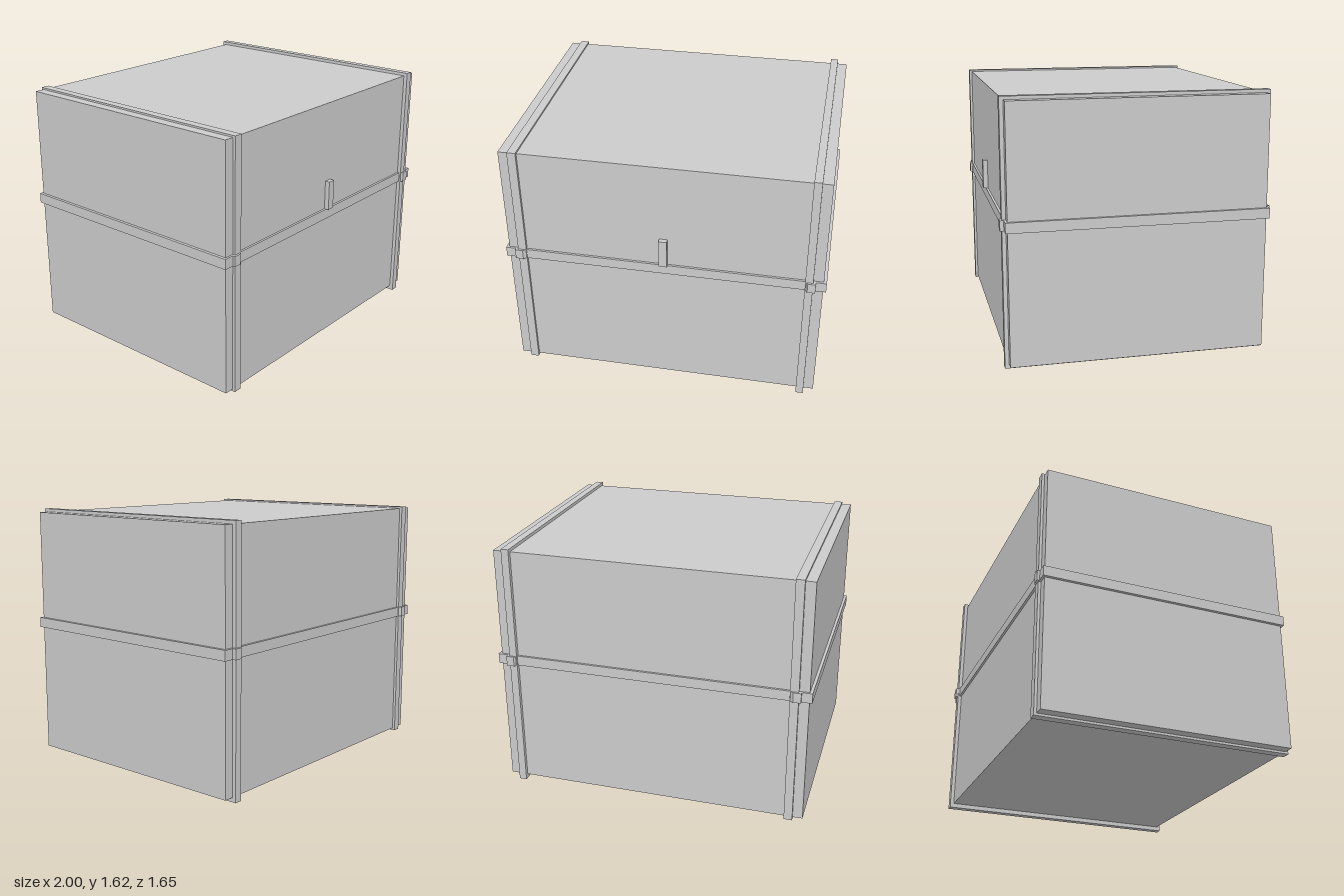
import * as THREE from 'three';

const material = new THREE.MeshStandardMaterial({ color: 0xcccccc, flatShading: true });

function addBox(group, name, [x0, x1], [y0, y1], [z0, z1]) {
  const mesh = new THREE.Mesh(new THREE.BoxGeometry(x1 - x0, y1 - y0, z1 - z0), material);
  mesh.name = name;
  mesh.position.set((x0 + x1) / 2, (y0 + y1) / 2, (z0 + z1) / 2);
  group.add(mesh);
}

// Rectangular hole, wound against the outline
function rectHole(x0, x1, y0, y1) {
  return new THREE.Path([[x0, y0], [x0, y1], [x1, y1], [x1, y0]].map(p => new THREE.Vector2(...p)));
}

// Upright strap: a rectangular loop around the top, bottom, front and back
function addStrap(group, name, [x0, x1], [y0, y1], z) {
  const shape = new THREE.Shape([[-z, y0], [z, y0], [z, y1], [-z, y1]].map(p => new THREE.Vector2(...p)));
  shape.holes.push(rectHole(-0.78, 0.78, 0.035, 1.59));
  const geometry = new THREE.ExtrudeGeometry(shape, { depth: x1 - x0, bevelEnabled: false });
  geometry.rotateY(Math.PI / 2);
  geometry.translate(x0, 0, 0);
  const mesh = new THREE.Mesh(geometry, material);
  mesh.name = name;
  group.add(mesh);
}

// Level band around the sides, stepping out where it crosses each strap
function addBand(group, y0, y1) {
  const z = 0.8;
  const edge = [
    [-1, z], [-0.936, z], [-0.936, 0.816], [-0.888, 0.816], [-0.866, z],
    [0.872, z], [0.888, 0.823], [0.936, 0.823], [0.936, z], [1, z],
  ];
  const back = edge.map(([x, d]) => [x, -d]).reverse();
  const shape = new THREE.Shape([...edge, ...back].map(p => new THREE.Vector2(...p)));
  shape.holes.push(rectHole(-0.975, 0.975, -0.78, 0.78));
  const geometry = new THREE.ExtrudeGeometry(shape, { depth: y1 - y0, bevelEnabled: false });
  geometry.rotateX(-Math.PI / 2);
  geometry.translate(0, y0, 0);
  const mesh = new THREE.Mesh(geometry, material);
  mesh.name = 'horizontalBand';
  group.add(mesh);
}

export function createModel() {
  const group = new THREE.Group();
  group.name = 'strappedCrate';

  addBox(group, 'crateBody', [-0.982, 0.982], [0.028, 1.597], [-0.786, 0.786]);
  addStrap(group, 'rightStrap', [-0.92, -0.867], [0.014, 1.608], 0.803);
  addStrap(group, 'leftStrap', [0.872, 0.92], [0, 1.617], 0.81);
  addBand(group, 0.845, 0.909);

  // Small latch tab standing on the band at the front
  addBox(group, 'latchTab', [-0.02, 0.031], [0.908, 1.094], [0.78, 0.816]);
  return group;
}
